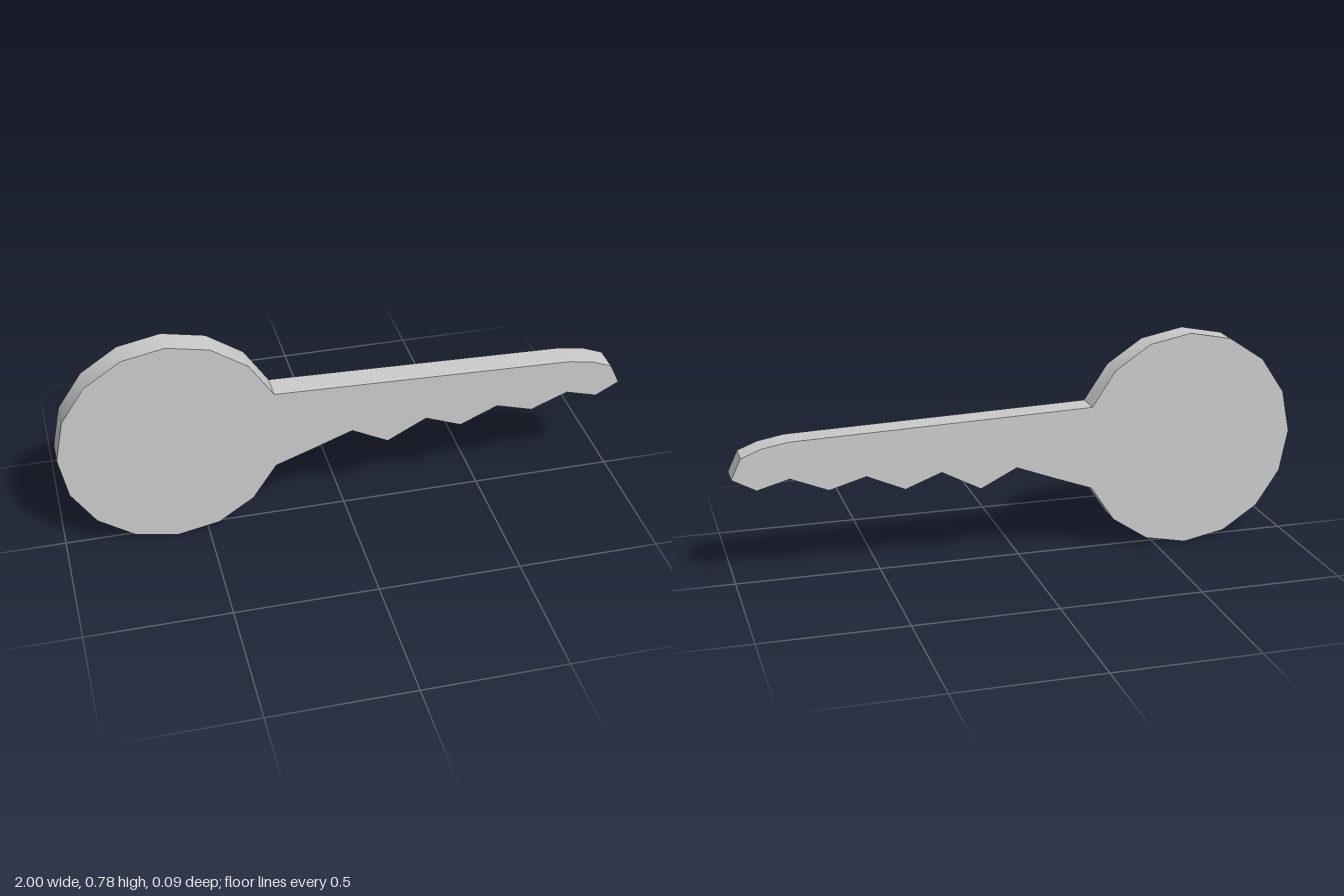
import * as THREE from 'three';
import { toCreasedNormals } from 'three/addons/utils/BufferGeometryUtils.js';

const THICKNESS = 0.094;
const BOW = { x: -0.612, y: 0.389, radius: 0.388, sides: 16 };

export function createModel() {
  const group = new THREE.Group();
  group.name = 'key';
  const outline = [];

  // round bow: 16-sided, open where the blade joins it
  for (let i = 1; i < BOW.sides; i++) {
    const a = (i / BOW.sides) * Math.PI * 2;
    outline.push([BOW.x + BOW.radius * Math.cos(a), BOW.y + BOW.radius * Math.sin(a)]);
  }

  // underside of the blade: slope, then the teeth (valley and peak in turn)
  outline.push(
    [-0.12, 0.289], [0.019, 0.342],
    [0.148, 0.277], [0.286, 0.35],
    [0.414, 0.301], [0.547, 0.36],
    [0.676, 0.323], [0.806, 0.376],
    [0.918, 0.345]
  );

  // tip and rounded nose; the straight top edge closes the outline
  outline.push([1, 0.39], [0.966, 0.462], [0.897, 0.489], [0.806, 0.505]);

  const shape = new THREE.Shape(outline.map(([x, y]) => new THREE.Vector2(x, y)));
  const geometry = new THREE.ExtrudeGeometry(shape, { depth: THICKNESS, bevelEnabled: false });
  geometry.translate(0, 0, -THICKNESS / 2);

  // smooth around the bow, sharp at the teeth and rims
  const body = new THREE.Mesh(
    toCreasedNormals(geometry, THREE.MathUtils.degToRad(30)),
    new THREE.MeshStandardMaterial({ color: 0xcccccc })
  );
  body.name = 'keyBody';
  group.add(body);
  return group;
}
